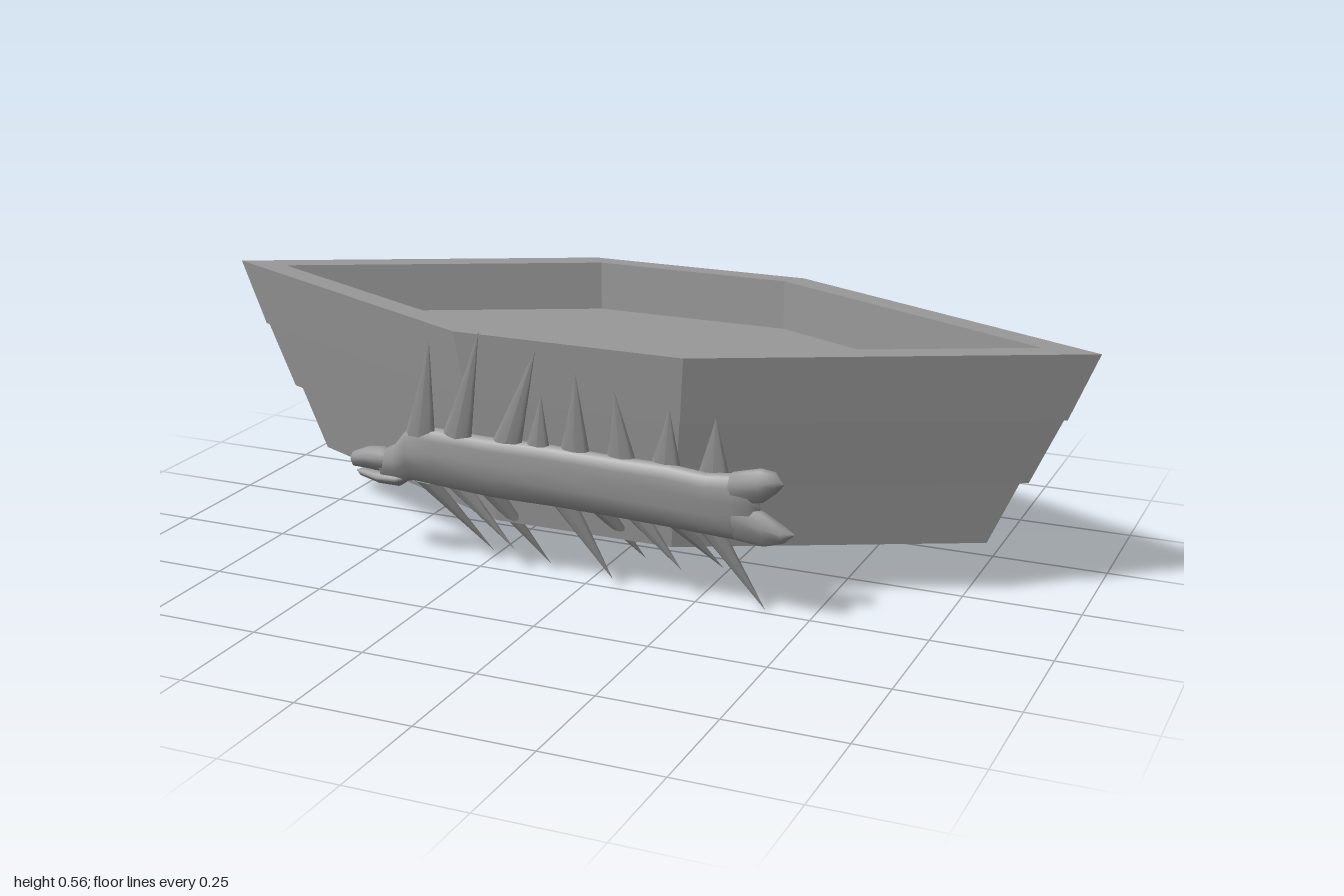
import * as THREE from 'three';

const stone = new THREE.MeshStandardMaterial({ color: 0x999999 });
stone.name = 'grey';

// Skins a list of equal-length rings of [x, y, z] points
function loft(rings, faceted) {
  const n = rings[0].length, index = [];
  for (let r = 0; r < rings.length - 1; r++) {
    for (let i = 0; i < n; i++) {
      const a = r * n + i, b = r * n + (i + 1) % n;
      index.push(a, a + n, b, b, a + n, b + n);
    }
  }
  let geo = new THREE.BufferGeometry();
  geo.setAttribute('position', new THREE.Float32BufferAttribute(rings.flat(2), 3));
  geo.setIndex(index);
  if (faceted) geo = geo.toNonIndexed();
  geo.computeVertexNormals();
  return geo;
}

function add(group, name, geo) {
  const mesh = new THREE.Mesh(geo, stone);
  mesh.name = name;
  group.add(mesh);
}

// Stepped six-sided hull: the same hexagon scaled at each height
function hull() {
  const hex = [[1, 0], [0.255, 0.358], [-0.255, 0.358], [-1, 0], [-0.255, -0.358], [0.255, -0.358]];
  const profile = [[0, 0.118], [0.79, 0.118], [0.853, 0.26], [0.87, 0.26], [0.934, 0.403],
    [0.941, 0.403], [1, 0.547], [0.88, 0.547], [0.88, 0.437], [0, 0.437]];
  return loft(profile.map(([s, y]) => hex.map(([x, z]) => [x * s, y, z * s - 0.02])), true);
}

// Depth of the leaning ornament: tilted with the hull side, slightly turned
const depth = (x, y) => 0.307 + 0.2 * (y - 0.25) + 0.025 * x;

// Lumpy flesh from sections [x, low y, high y, half thickness]
function flesh(sections) {
  const sides = 14;
  return loft(sections.map(([x, lo, hi, rz], k) => Array.from({ length: sides }, (_, i) => {
    const a = i / sides * Math.PI * 2;
    const lump = 1 + 0.1 * Math.sin(i * 2.4 + k * 0.5);
    const y = (lo + hi) / 2 + Math.cos(a) * (hi - lo) / 2;
    return [x, y, depth(x, y) - Math.sin(a) * rz * lump];
  })));
}

// Thin sharp spine leaning from its base point to its tip
function spine(base, tip, halfWidth) {
  const geo = new THREE.ConeGeometry(1, 1, 8, 3);
  const pos = geo.attributes.position;
  const flip = tip[1] < base[1] ? -1 : 1;
  for (let i = 0; i < pos.count; i++) {
    const t = pos.getY(i) + 0.5;
    const p = base.map((v, k) => v + (tip[k] - v) * t);
    pos.setXYZ(i, p[0] + pos.getX(i) * halfWidth * flip, p[1], p[2] + pos.getZ(i) * 0.009);
  }
  geo.computeVertexNormals();
  return geo;
}

export function createModel() {
  const model = new THREE.Group();
  add(model, 'hull', hull());

  const fish = new THREE.Group();
  fish.name = 'fishOrnament';
  model.add(fish);

  add(fish, 'body', flesh([
    [-0.47, 0.215, 0.215, 0], [-0.46, 0.185, 0.25, 0.02], [-0.42, 0.18, 0.272, 0.028],
    [-0.385, 0.19, 0.312, 0.03], [-0.32, 0.185, 0.325, 0.031], [-0.2, 0.178, 0.322, 0.028],
    [-0.05, 0.18, 0.325, 0.03], [0.1, 0.178, 0.322, 0.028], [0.22, 0.175, 0.322, 0.028],
    [0.3, 0.172, 0.315, 0.027], [0.36, 0.17, 0.322, 0.025], [0.395, 0.19, 0.315, 0.02],
    [0.415, 0.25, 0.25, 0]]));

  // Open mouth
  add(fish, 'upperJaw', flesh([
    [-0.54, 0.215, 0.215, 0], [-0.53, 0.203, 0.238, 0.016], [-0.49, 0.203, 0.256, 0.024],
    [-0.45, 0.2, 0.262, 0.026], [-0.41, 0.23, 0.23, 0]]));
  add(fish, 'lowerJaw', flesh([
    [-0.53, 0.193, 0.193, 0], [-0.515, 0.182, 0.2, 0.014], [-0.47, 0.172, 0.2, 0.022],
    [-0.42, 0.172, 0.21, 0.025], [-0.38, 0.2, 0.2, 0]]));

  // Forked tail
  add(fish, 'upperTailLobe', flesh([
    [0.33, 0.29, 0.29, 0], [0.36, 0.25, 0.325, 0.024], [0.42, 0.265, 0.342, 0.024],
    [0.45, 0.29, 0.338, 0.018], [0.468, 0.312, 0.312, 0]]));
  add(fish, 'lowerTailLobe', flesh([
    [0.33, 0.2, 0.2, 0], [0.36, 0.17, 0.265, 0.024], [0.42, 0.166, 0.245, 0.024],
    [0.46, 0.18, 0.22, 0.018], [0.485, 0.203, 0.203, 0]]));

  // Back spines: base x, tip x, tip y
  [[-0.35, -0.292, 0.535], [-0.265, -0.174, 0.565], [-0.15, -0.05, 0.54], [0.01, 0.033, 0.5],
    [0.115, 0.115, 0.472], [0.21, 0.232, 0.445], [0.315, 0.33, 0.437]].forEach(([bx, tx, ty]) =>
    add(fish, 'backSpine', spine([bx, 0.3, 0.318], [tx, ty, 0.378 - (0.565 - ty) * 0.22], 0.036)));
  add(fish, 'backSpine', spine([-0.075, 0.3, 0.318], [-0.05, 0.44, 0.35], 0.03));

  // Belly spines: base x, tip x, tip y
  [[-0.35, -0.233, 0.027], [-0.275, -0.165, 0.053], [-0.2, -0.097, 0.015], [-0.03, 0.06, 0.015],
    [0.05, 0.13, 0.07], [0.13, 0.222, 0.068], [0.21, 0.305, 0.075], [0.29, 0.4, 0]].forEach(([bx, tx, ty], i) =>
    add(fish, 'bellySpine', spine([bx, 0.19, 0.288], [tx, ty, (i % 2 ? 0.236 : 0.207) + ty * 0.3], 0.032)));

  return model;
}
